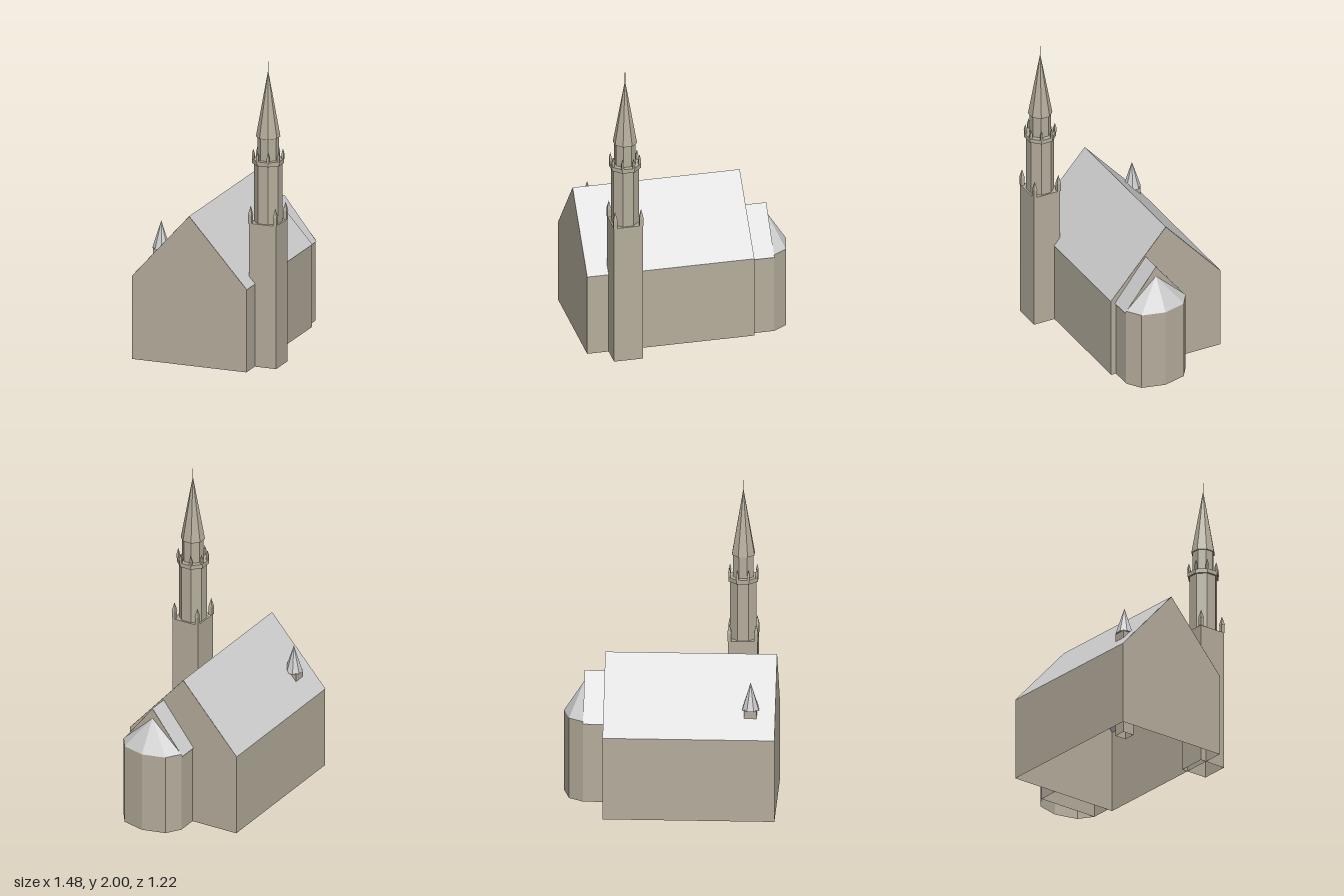
import * as THREE from 'three';

const stone = new THREE.MeshStandardMaterial({ color: 0xb5ad9c, flatShading: true, side: THREE.DoubleSide });
const slate = new THREE.MeshStandardMaterial({ color: 0xcccccc, flatShading: true, side: THREE.DoubleSide });

function addMesh(parent, name, geometry, material, x = 0, y = 0, z = 0) {
  const mesh = new THREE.Mesh(geometry, material);
  mesh.name = name;
  mesh.position.set(x, y, z);
  parent.add(mesh);
  return mesh;
}

// Flat convex polygons, each fanned into triangles
function faces(polygons) {
  const pos = [];
  for (const p of polygons) {
    for (let i = 1; i < p.length - 1; i++) pos.push(...p[0], ...p[i], ...p[i + 1]);
  }
  const g = new THREE.BufferGeometry();
  g.setAttribute('position', new THREE.Float32BufferAttribute(pos, 3));
  g.computeVertexNormals();
  return g;
}

// Gabled block along x, open underneath: walls with gables, and two roof slopes
function gabledBlock(parent, name, x0, x1, zc, half, eave, ridge, overhang = 0) {
  const a = zc - half, b = zc + half;
  const gable = x => [[x, 0, b], [x, 0, a], [x, eave, a], [x, ridge, zc], [x, eave, b]];
  addMesh(parent, name + 'Walls', faces([
    gable(x1), gable(x0).reverse(),
    [[x0, 0, b], [x1, 0, b], [x1, eave, b], [x0, eave, b]],
    [[x1, 0, a], [x0, 0, a], [x0, eave, a], [x1, eave, a]],
  ]), stone);
  const drop = overhang * (ridge - eave) / half, e = eave - drop + 0.001, r = ridge + 0.001;
  addMesh(parent, name + 'Roof', faces([
    [[x0, e, b + overhang], [x1, e, b + overhang], [x1, r, zc], [x0, r, zc]],
    [[x1, e, a - overhang], [x0, e, a - overhang], [x0, r, zc], [x1, r, zc]],
  ]), slate);
}

// Square shaft with a flat top, open underneath
function squareShaft(parent, name, side, height, x, z) {
  const h = side / 2;
  const c = [[-h, h], [h, h], [h, -h], [-h, -h]];
  const sides = c.map((p, i) => {
    const q = c[(i + 1) % 4];
    return [[p[0], 0, p[1]], [q[0], 0, q[1]], [q[0], height, q[1]], [p[0], height, p[1]]];
  });
  sides.push(c.map(p => [p[0], height, p[1]]));
  addMesh(parent, name, faces(sides), stone, x, 0, z);
}

// Tapered prism standing on y0, with flats facing the axes
function prism(parent, name, rTop, rBottom, y0, y1, sides = 8, x = 0, z = 0, material = stone) {
  const g = new THREE.CylinderGeometry(rTop, rBottom, y1 - y0, sides, 1, false, Math.PI / sides);
  return addMesh(parent, name, g, material, x, (y0 + y1) / 2, z);
}

function pinnacle(parent, name, width, y0, bodyHeight, height, x, z) {
  const r = width / Math.SQRT2;
  prism(parent, name + 'Base', r, r, y0, y0 + bodyHeight, 4, x, z);
  prism(parent, name + 'Tip', 0, r * 1.1, y0 + bodyHeight, y0 + height, 4, x, z);
}

export function createModel() {
  const model = new THREE.Group();
  model.name = 'church';

  // The whole church is turned on its plot
  const church = new THREE.Group();
  church.name = 'churchBody';
  church.position.set(-0.09, 0, -0.045);
  church.rotation.y = THREE.MathUtils.degToRad(20.9);
  model.add(church);

  // Nave and the lower, off-centre choir
  gabledBlock(church, 'nave', -0.546, 0.546, 0, 0.393, 0.55, 0.989, 0.003);
  gabledBlock(church, 'choir', 0.546, 0.684, 0.145, 0.214, 0.535, 0.809, 0.008);

  // Apse: half of a flattened octagon with a faceted roof
  const ring = [];
  for (let i = 0; i <= 4; i++) {
    const t = Math.PI / 2 - i * Math.PI / 4;
    ring.push([0.684 + 0.13 * Math.cos(t), 0.145 + 0.214 * Math.sin(t)]);
  }
  const walls = [], roof = [];
  for (let i = 0; i < 4; i++) {
    const [p, q] = [ring[i], ring[i + 1]];
    walls.push([[p[0], 0, p[1]], [q[0], 0, q[1]], [q[0], 0.54, q[1]], [p[0], 0.54, p[1]]]);
    roof.push([[p[0], 0.54, p[1]], [q[0], 0.54, q[1]], [0.684, 0.74, 0.145]]);
  }
  addMesh(church, 'apseWalls', faces(walls), stone);
  addMesh(church, 'apseRoof', faces(roof), slate);

  // Bell tower
  const tower = new THREE.Group();
  tower.name = 'tower';
  tower.position.set(-0.312, 0, 0.446);
  church.add(tower);
  squareShaft(tower, 'towerShaft', 0.188, 0.945, 0, 0);
  for (const sx of [-1, 1]) {
    for (const sz of [-1, 1]) pinnacle(tower, 'cornerPinnacle', 0.024, 0.945, 0.055, 0.115, sx * 0.085, sz * 0.085);
  }
  prism(tower, 'belfry', 0.09, 0.09, 0.945, 1.33);
  prism(tower, 'gallery', 0.102, 0.102, 1.33, 1.358);
  for (let i = 0; i < 8; i++) {
    const t = Math.PI / 8 + i * Math.PI / 4;
    pinnacle(tower, 'galleryPinnacle', 0.015, 1.355, 0.03, 0.07, 0.094 * Math.cos(t), 0.094 * Math.sin(t));
  }
  prism(tower, 'lantern', 0.069, 0.069, 1.358, 1.505);
  prism(tower, 'spire', 0, 0.078, 1.505, 1.945);
  prism(tower, 'spireRod', 0.002, 0.002, 1.935, 2, 6);

  // Small ridge turret on the rear slope
  squareShaft(church, 'turretShaft', 0.08, 0.715, -0.389, -0.256);
  prism(church, 'turretSpire', 0, 0.057, 0.71, 0.89, 8, -0.389, -0.256, slate);

  return model;
}
